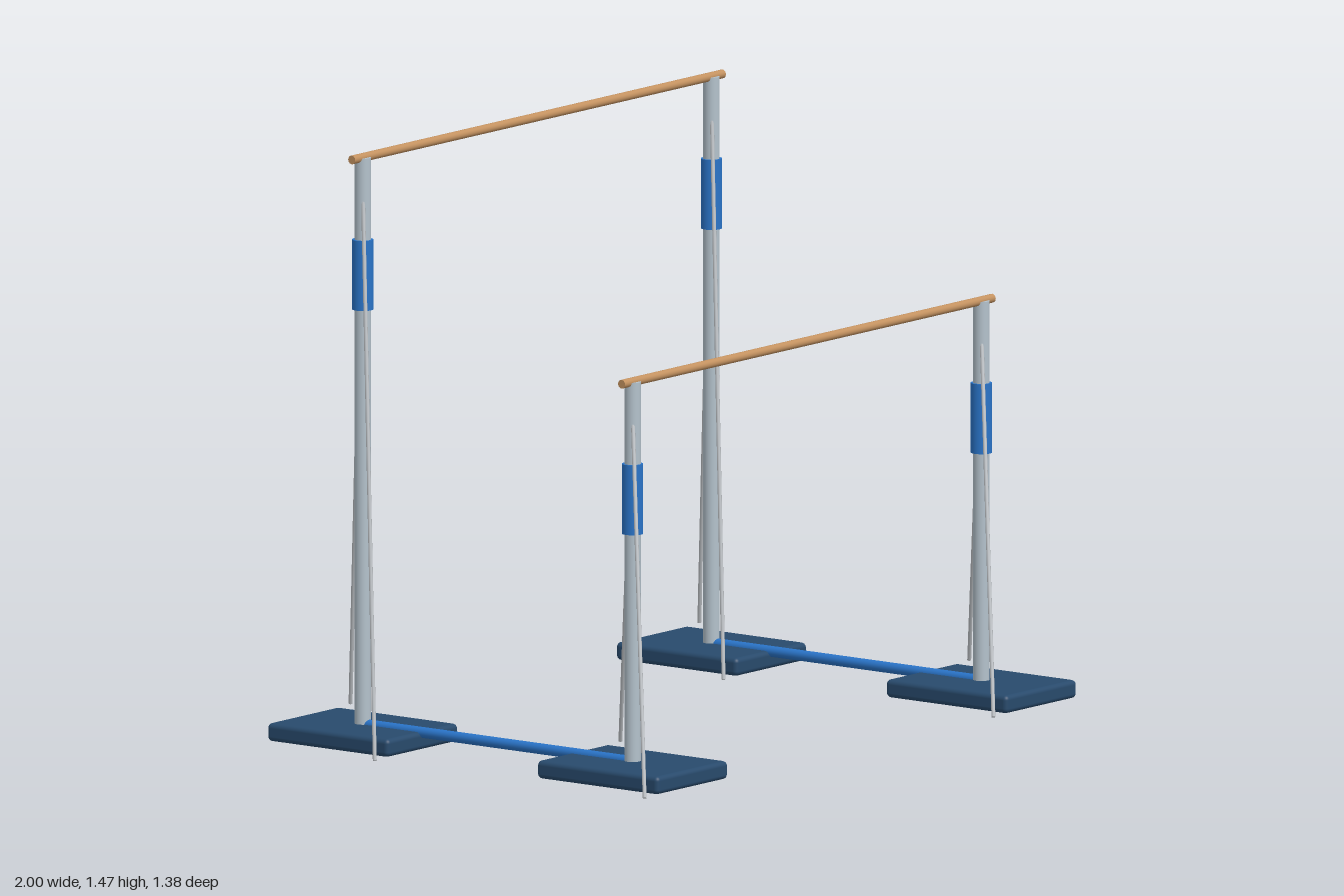
import * as THREE from 'three';
import { RoundedBoxGeometry } from 'three/addons/geometries/RoundedBoxGeometry.js';

const material = (name, color) => {
  const m = new THREE.MeshStandardMaterial({ color });
  m.name = name;
  return m;
};

export function createModel() {
  const steel = material('steel', 0xb4c2cc);
  const blue = material('blue', 0x2a74c8);
  const navy = material('navy', 0x284a6c);
  const wood = material('wood', 0xc49260);
  const wire = material('wire', 0xbcc0c4);

  const model = new THREE.Group();
  model.name = 'unevenBars';

  // Round rod between two points
  function rod(name, from, to, radius, mat, sides = 20) {
    const a = new THREE.Vector3(...from);
    const b = new THREE.Vector3(...to);
    const dir = b.clone().sub(a);
    const mesh = new THREE.Mesh(new THREE.CylinderGeometry(radius, radius, dir.length(), sides), mat);
    mesh.name = name;
    mesh.position.copy(a).add(b).multiplyScalar(0.5);
    mesh.quaternion.setFromUnitVectors(new THREE.Vector3(0, 1, 0), dir.normalize());
    return mesh;
  }

  const postX = 0.703, postZ = 0.42;
  const frames = [
    { name: 'low', z: postZ, height: 0.996 },
    { name: 'high', z: -postZ, height: 1.464 },
  ];

  for (const { name, z, height } of frames) {
    // Wooden rail
    model.add(rod(`${name}Rail`, [-0.747, height, z], [0.747, height, z], 0.011, wood));

    for (const side of [-1, 1]) {
      const x = side * postX;
      const upright = new THREE.Group();
      upright.name = `${name}${side > 0 ? 'Left' : 'Right'}Upright`;
      upright.position.set(x, 0, z);

      // Weighted foot
      const base = new THREE.Mesh(new RoundedBoxGeometry(0.287, 0.045, 0.378, 4, 0.012), navy);
      base.name = 'base';
      base.position.y = 0.0245;
      upright.add(base);

      // Post with height-adjusting sleeve
      upright.add(rod('post', [0, 0.03, 0], [0, height, 0], 0.0205, steel, 24));
      upright.add(rod('sleeve', [0, height - 0.38, 0], [0, height - 0.205, 0], 0.0265, blue, 24));

      // Diagonal guy wires
      for (const s of [-1, 1]) {
        upright.add(rod('guyWire',
          [s * 0.01, height - 0.1, -s * 0.009],
          [s * 0.293, 0.025, -s * 0.264], 0.005, wire, 10));
      }
      model.add(upright);
    }
  }

  // Floor braces joining the low and high posts
  for (const side of [-1, 1]) {
    model.add(rod('floorBrace', [side * postX, 0.045, -postZ], [side * postX, 0.045, postZ], 0.0135, blue));
  }
  return model;
}
